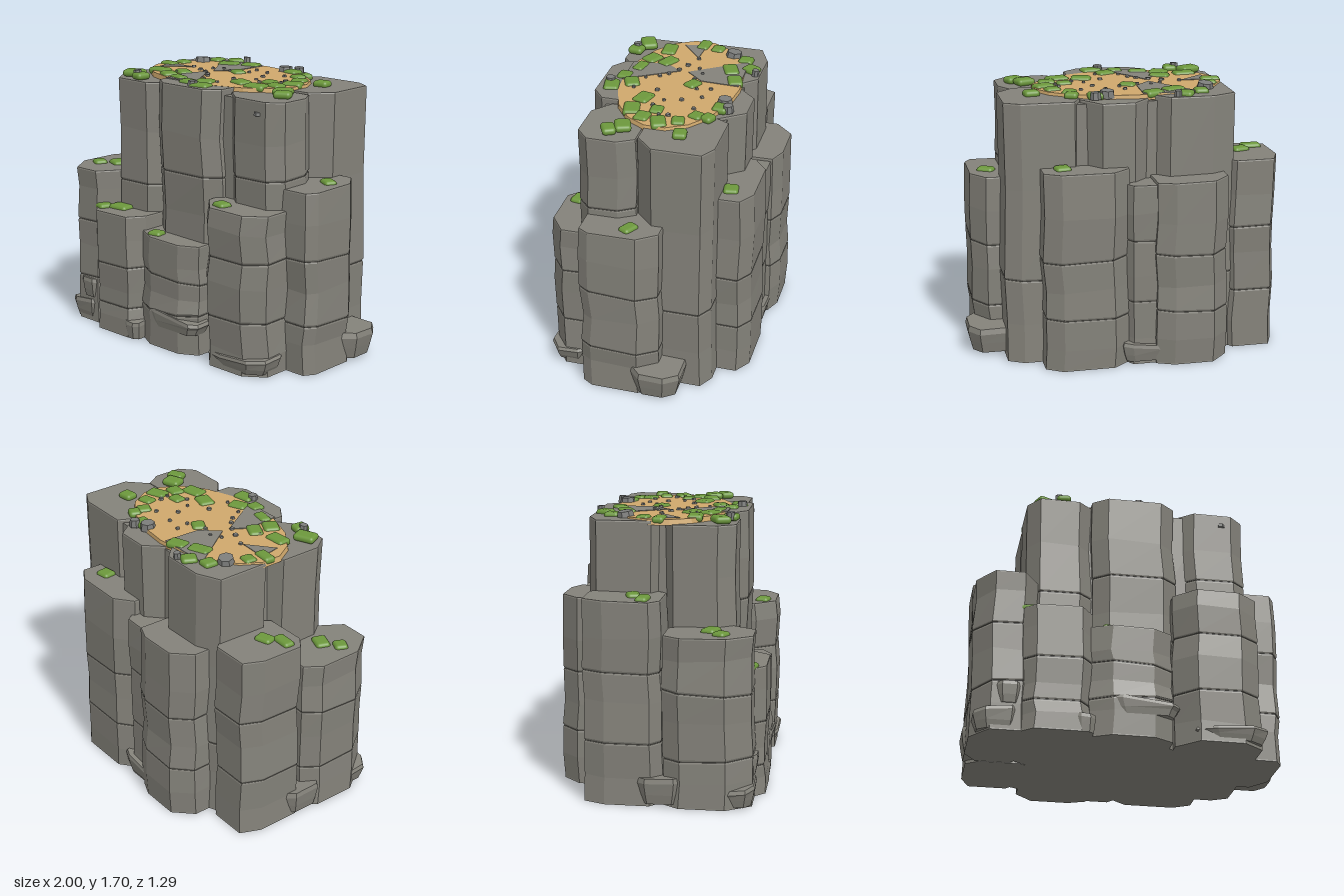
import * as THREE from 'three';
import { RoundedBoxGeometry } from 'three/addons/geometries/RoundedBoxGeometry.js';

const material = (name, color, flatShading = true) => {
  const m = new THREE.MeshStandardMaterial({ color, flatShading });
  m.name = name;
  return m;
};

// Small seeded generator, returns -1..1
let seed = 7;
const rnd = () => {
  seed = (seed * 16807) % 2147483647;
  return (seed / 2147483647) * 2 - 1;
};

// Rectangle with unevenly cut corners, counter-clockwise from above
function cutRectangle(x0, x1, z0, z1) {
  const cut = (size) => size * (0.2 + rnd() * 0.09);
  const corner = (x, z, sx, sz) => [[x + sx * cut(x1 - x0), z], [x, z + sz * cut(z1 - z0)]];
  return [
    ...corner(x1, z1, -1, -1), ...corner(x1, z0, -1, 1).reverse(),
    ...corner(x0, z0, 1, 1), ...corner(x0, z1, 1, -1).reverse(),
  ];
}

// Lofted, capped solid over a footprint: each level is scaled, shifted and tilted
function loft(pts, levels) {
  const n = pts.length, pos = [], idx = [];
  const [cx, cz] = [0, 1].map((k) => pts.reduce((sum, p) => sum + p[k], 0) / n);
  for (const { y, s = 1, dx = 0, dz = 0, tx = 0, tz = 0 } of levels) {
    for (const [x, z] of pts) {
      const ox = (x - cx) * s, oz = (z - cz) * s;
      pos.push(cx + ox + dx, y + ox * tx + oz * tz, cz + oz + dz);
    }
  }
  const top = (levels.length - 1) * n;
  for (let a = 0; a < top; a++) {
    const b = a % n === n - 1 ? a - n + 1 : a + 1;
    idx.push(a, b, b + n, a, b + n, a + n);
  }
  for (let i = 1; i < n - 1; i++) idx.push(0, i + 1, i, top, top + i, top + i + 1);
  const g = new THREE.BufferGeometry();
  g.setAttribute('position', new THREE.Float32BufferAttribute(pos, 3));
  g.setIndex(idx);
  g.computeVertexNormals();
  return g;
}

// Columns: name, x0, x1, z0, z1, top, seam heights
const COLUMNS = [
  ['frontLeftTallColumn', -0.67, -0.24, 0, 0.44, 1.64, 0.5, 0.98],
  ['frontTallColumn', -0.26, 0.27, 0.03, 0.47, 1.668, 0.6, 1.12],
  ['frontRightTallColumn', 0.28, 0.73, 0.06, 0.42, 1.645, 0.6, 1.17],
  ['backRightTallColumn', 0.28, 0.77, -0.42, 0.05, 1.652, 0.53],
  ['backLeftTallColumn', -0.66, -0.12, -0.46, 0, 1.66, 0.5],
  ['backTallColumn', -0.13, 0.3, -0.49, 0.04, 1.648, 0.55],
  ['leftBackColumn', -0.96, -0.57, -0.43, 0.03, 1.23, 0.38, 0.8],
  ['leftFrontColumn', -0.98, -0.6, 0.04, 0.57, 1.03, 0.3, 0.7],
  ['frontLeftLowColumn', -0.73, -0.27, 0.25, 0.63, 0.8, 0.2, 0.47],
  ['frontLowColumn', -0.3, 0.21, 0.25, 0.61, 0.71, 0.25, 0.46],
  ['frontRightColumn', 0.24, 0.76, 0.15, 0.61, 1, 0.33, 0.71],
  ['rightColumn', 0.58, 0.94, -0.13, 0.35, 1.13, 0.3, 0.7],
  ['backRightColumn', 0.03, 0.56, -0.61, -0.25, 1.25, 0.33, 0.7],
  ['backNarrowColumn', -0.19, 0.05, -0.58, -0.25, 1.15, 0.4, 0.8],
  ['backLeftColumn', -0.59, -0.13, -0.64, -0.25, 1.17, 0.35, 0.72],
];

// Foot slabs: name, x0, x1, z0, z1, bottom, top
const SLABS = [
  ['rightLedge', 0.66, 1, -0.28, 0.06, 0.02, 0.19],
  ['frontLedge', -0.17, 0.25, 0.46, 0.63, 0.14, 0.24],
  ['frontRightLedge', 0.34, 0.79, 0.36, 0.63, 0.02, 0.11],
  ['frontBoulder', -0.38, -0.26, 0.5, 0.64, 0, 0.12],
  ['leftLedge', -1, -0.75, -0.12, 0.16, 0.02, 0.17],
  ['frontLeftLedge', -0.97, -0.68, 0.33, 0.59, 0.01, 0.13],
  ['leftUpperLedge', -0.85, -0.69, 0.4, 0.6, 0.17, 0.29],
  ['backLedge', -0.22, 0.08, -0.61, -0.4, 0.02, 0.13],
];

// Bare rock wedges showing through the sand
const WEDGES = [
  [[-0.44, -0.36], [-0.2, -0.02], [-0.1, -0.13], [-0.09, -0.37]],
  [[-0.2, 0.03], [-0.27, 0.13], [-0.25, 0.35], [0, 0.35]],
  [[-0.41, -0.03], [-0.6, -0.04], [-0.57, 0.1]],
];

// Moss on the summit: x, z
const TOP_MOSS = [
  [-0.46, -0.33], [-0.35, -0.39], [-0.3, -0.27], [-0.16, -0.33], [0.2, -0.33], [0.34, -0.29], [0.34, -0.22],
  [0.57, -0.18], [0.43, -0.13], [0.47, -0.02], [0.33, 0.03], [0.43, 0.09], [0.56, 0.17], [0.62, 0.24], [0.2, 0.15],
  [0.35, 0.18], [0.02, 0.28], [-0.06, 0.35], [0.09, 0.39], [-0.2, 0.29], [-0.31, 0.14], [-0.33, 0.25], [-0.48, 0.18],
  [-0.55, 0.34], [-0.44, 0.39], [-0.6, -0.02], [-0.57, -0.12], [-0.05, -0.09],
];

// Moss on the lower columns: x, z, height
const LOW_MOSS = [
  [-0.77, -0.15, 1.23], [-0.86, -0.08, 1.23], [-0.76, 0.31, 1.03], [-0.86, 0.38, 1.03], [-0.66, 0.53, 0.8],
  [-0.55, 0.48, 0.8], [-0.17, 0.53, 0.71], [0.39, 0.52, 1], [0.83, 0.06, 1.13], [0.43, -0.46, 1.25],
];

export function createModel() {
  seed = 7;
  const model = new THREE.Group();
  model.name = 'rockOutcrop';
  const rock = material('rock', 0x84827a);
  const crevice = material('crevice', 0x45443f);
  const stone = material('stone', 0x7c7d7b);
  const sand = material('sand', 0xcfa86c);
  const moss = material('moss', 0x6c983c, false);
  const add = (parent, name, geometry, mat) => {
    const mesh = new THREE.Mesh(geometry, mat);
    mesh.name = name;
    parent.add(mesh);
    return mesh;
  };

  // Hidden core closing the gaps between columns
  add(model, 'core', loft(cutRectangle(-0.6, 0.66, -0.4, 0.38), [{ y: 0 }, { y: 1.63, s: 0.97 }]), rock);

  // Columns: stacked blocks separated by dark, slightly tilted seams
  const joint = (y, k) => ({ y, dx: rnd() * 0.01 * k, dz: rnd() * 0.01 * k, tx: rnd() * 0.06 * k, tz: rnd() * 0.06 * k });
  for (const [name, x0, x1, z0, z1, top, ...seams] of COLUMNS) {
    const group = new THREE.Group();
    group.name = name;
    model.add(group);
    const pts = cutRectangle(x0, x1, z0, z1);
    const joints = [joint(0, 0), ...seams.map((y) => joint(y, 1)), joint(top, top > 1.5 ? 0.12 : 0.4)];
    for (let i = 0; i < seams.length + 1; i++) {
      const a = joints[i], b = joints[i + 1];
      const low = i ? a.y + 0.004 : 0, high = i < seams.length ? b.y - 0.004 : b.y;
      const waist = joint((a.y + b.y) / 2 + rnd() * 0.04, 1);
      add(group, 'block', loft(pts, [
        { ...a, y: low, s: i ? 0.99 : 1.01 },
        { ...a, y: low + 0.008, s: 1.005 },
        { ...waist, s: 1 + rnd() * 0.025 },
        { ...b, y: high - 0.008 },
        { ...b, y: high, s: 0.988 },
      ]), rock);
      if (i) add(group, 'seam', loft(pts, [{ ...a, y: a.y - 0.006, s: 0.975 }, { ...a, y: a.y + 0.006, s: 0.975 }]), crevice);
    }
  }

  // Fallen slabs around the foot, undercut below
  for (const [name, x0, x1, z0, z1, y0, y1] of SLABS) {
    const h = y1 - y0, tx = rnd() * 0.12, tz = rnd() * 0.12;
    add(model, name, loft(cutRectangle(x0, x1, z0, z1), [
      { y: y0, s: 0.82 }, { y: y0 + h * 0.4, s: 0.92 }, { y: y0 + h * 0.8, tx, tz }, { y: y1, s: 0.95, tx, tz },
    ]), rock);
  }

  // Sandy summit with rock wedges
  const patch = new THREE.CylinderGeometry(0.985, 1, 0.034, 18).scale(0.61, 1, 0.375);
  add(model, 'sandPatch', patch.translate(-0.06, 1.653, -0.015), sand);
  for (const pts of WEDGES) add(model, 'rockWedge', loft(pts, [{ y: 1.666 }, { y: 1.674 }]), rock);

  // Moss cushions, half sunk into the surface
  for (const [x, z, y = 1.664] of [...TOP_MOSS, ...LOW_MOSS]) {
    const size = [0.115 + rnd() * 0.03, 0.044, 0.088 + rnd() * 0.015];
    const cushion = add(model, 'moss', new RoundedBoxGeometry(...size, 3, 0.021), moss);
    cushion.position.set(x, y, z);
    cushion.rotation.y = rnd() * 0.5;
  }

  // Loose stones and pebbles
  const addStone = (name, x, y, z, r, h, sides) => {
    const mesh = add(model, name, new THREE.CylinderGeometry(r * 0.85, r, h, sides), stone);
    mesh.position.set(x, y, z);
    mesh.rotation.set(rnd() * 0.1, rnd() * 3, rnd() * 0.1);
  };
  for (const [x, z, r] of [[-0.51, -0.24, 0.055], [0.13, -0.34, 0.05], [-0.47, 0.39, 0.03], [0.04, 0.41, 0.034], [0.21, -0.38, 0.035], [-0.29, -0.43, 0.025]])
    addStone('looseStone', x, 1.676, z, r, 0.045, 7);
  for (let i = 0; i < 24; i++) {
    const a = i * 2.4, r = 0.3 + 0.6 * Math.abs(rnd());
    addStone('pebble', -0.04 + Math.cos(a) * r * 0.5, 1.673, Math.sin(a) * r * 0.3, 0.015 + rnd() * 0.004, 0.018, 5);
  }
  addStone('embeddedStone', 0.58, 1.57, 0.415, 0.025, 0.022, 5);
  return model;
}
